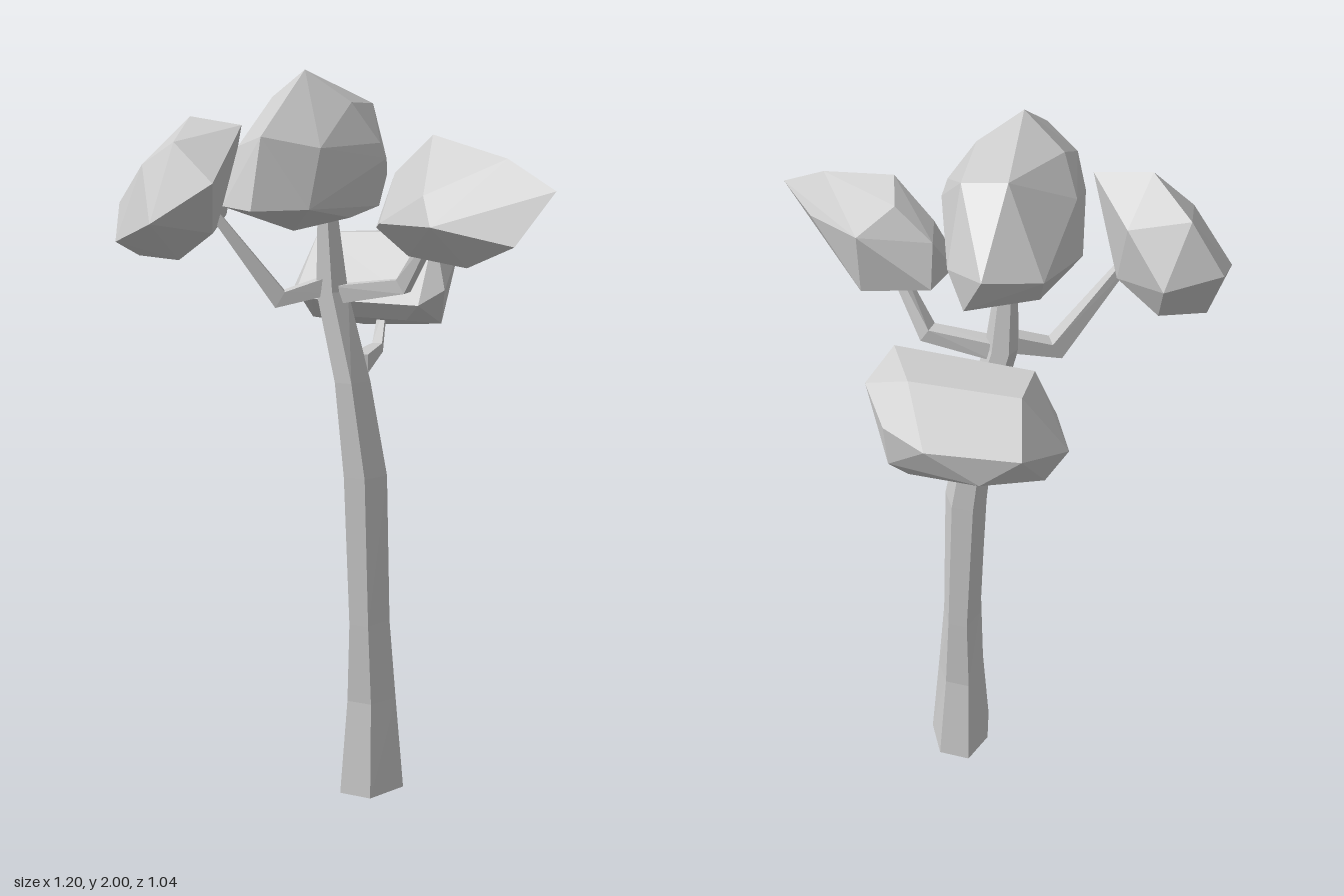
import * as THREE from 'three';
import { ConvexGeometry } from 'three/addons/geometries/ConvexGeometry.js';

const material = new THREE.MeshStandardMaterial({ color: 0xcccccc, flatShading: true });

// Skins a list of equal rings (counter-clockwise about the path) and caps both ends
function loft(rings) {
  const n = rings[0].length, pos = [], index = [];
  rings.forEach(r => r.forEach(p => pos.push(...p)));
  for (let i = 0; i < rings.length - 1; i++) {
    for (let j = 0; j < n; j++) {
      const a = i * n + j, b = i * n + (j + 1) % n;
      index.push(a, b, b + n, a, b + n, a + n);
    }
  }
  const top = (rings.length - 1) * n;
  for (let j = 1; j < n - 1; j++) {
    index.push(0, j + 1, j, top, top + j, top + j + 1);
  }
  const g = new THREE.BufferGeometry();
  g.setAttribute('position', new THREE.Float32BufferAttribute(pos, 3));
  g.setIndex(index);
  const flat = g.toNonIndexed();
  flat.computeVertexNormals();
  return flat;
}

// Six-sided trunk section between x0 and x1, with half depth d
function trunkRing([y, x0, x1, d]) {
  const w = x1 - x0, l = x0 + w * 0.16, r = x0 + w * 0.67;
  return [[l, y, d], [r, y, d], [x1, y, 0], [r, y, -d], [l, y, -d], [x0, y, 0]];
}

// Four-sided tapering branch along a bent path
function branch(points, radii) {
  const path = points.map(p => new THREE.Vector3(...p));
  const last = path.length - 1;
  return loft(path.map((p, i) => {
    const d = path[Math.min(i + 1, last)].clone().sub(path[Math.max(i - 1, 0)]).normalize();
    const ref = Math.abs(d.y) > 0.9 ? new THREE.Vector3(1, 0, 0) : new THREE.Vector3(0, 1, 0);
    const u = ref.cross(d).normalize(), v = d.clone().cross(u);
    return [0, 1, 2, 3].map(k => {
      const t = k * Math.PI / 2 + Math.PI / 4;
      return p.clone().addScaledVector(u, radii[i] * Math.cos(t))
        .addScaledVector(v, radii[i] * Math.sin(t)).toArray();
    });
  }));
}

// Trunk sections: y, left x, right x, half depth
const trunk = [
  [0, -0.02, 0.16, 0.105], [0.27, -0.005, 0.135, 0.072], [0.5, 0.005, 0.115, 0.07],
  [0.92, -0.015, 0.105, 0.065], [1.18, -0.04, 0.055, 0.058],
  [1.42, -0.1, -0.01, 0.04], [1.66, -0.095, -0.045, 0.025],
];

// Corners of the faceted leaf masses
const topLeaves = [
  [-0.06, 2, 0.16], [-0.1, 1.93, -0.11], [0.02, 1.91, -0.1], [-0.18, 1.93, 0.1],
  [0.05, 1.92, 0.12], [-0.04, 1.85, 0.46], [-0.04, 1.68, 0.52], [-0.15, 1.82, 0.36],
  [0.07, 1.82, 0.36], [-0.16, 1.68, 0.43], [0.07, 1.68, 0.43], [-0.23, 1.84, 0.04],
  [0.12, 1.82, 0.1], [-0.25, 1.69, 0.04], [0.13, 1.78, 0.08], [0.11, 1.66, 0.08],
  [-0.08, 1.74, -0.26], [-0.21, 1.72, -0.18], [0.03, 1.72, -0.18], [-0.18, 1.63, -0.1],
  [-0.02, 1.63, -0.21], [-0.04, 1.61, 0.28], [0.08, 1.64, 0.2], [-0.2, 1.64, 0.22],
];
const leftLeaves = [
  [0.24, 1.84, 0.04], [0.46, 1.79, 0.11], [0.6, 1.72, 0.165], [0.52, 1.59, 0.235],
  [0.37, 1.52, 0.14], [0.18, 1.53, 0.05], [0.31, 1.63, 0.25], [0.27, 1.7, 0.19],
  [0.29, 1.73, -0.11], [0.1, 1.73, -0.08], [0.1, 1.61, -0.1], [0.09, 1.6, 0.05],
  [0.13, 1.62, 0.13], [0.47, 1.7, 0.03], [0.3, 1.56, -0.07], [0.13, 1.74, 0.02],
  [0.2, 1.81, -0.07],
];
const rightLeaves = [
  [-0.39, 1.88, 0.16], [-0.24, 1.86, 0.16], [-0.26, 1.72, 0.29], [-0.4, 1.62, 0.37],
  [-0.55, 1.56, 0.29], [-0.44, 1.5, 0.15], [-0.55, 1.51, 0.17], [-0.6, 1.65, 0.18],
  [-0.6, 1.68, 0.055], [-0.51, 1.81, 0.06], [-0.47, 1.66, -0.035], [-0.36, 1.78, 0.03],
  [-0.32, 1.58, 0.18], [-0.48, 1.76, 0.26], [-0.38, 1.82, 0.27], [-0.45, 1.56, 0.03],
  [-0.33, 1.62, 0.08],
];
const backLeaves = [
  [-0.22, 1.54, -0.28], [0.13, 1.555, -0.29], [-0.22, 1.53, -0.39], [0.05, 1.545, -0.42],
  [0.17, 1.5, -0.39], [-0.25, 1.42, -0.49], [-0.02, 1.42, -0.52], [0.09, 1.45, -0.49],
  [-0.325, 1.37, -0.34], [-0.26, 1.38, -0.21], [0.18, 1.4, -0.24], [0.12, 1.36, -0.19],
  [-0.2, 1.36, -0.19], [-0.27, 1.28, -0.35], [0.06, 1.27, -0.41], [0.14, 1.29, -0.33],
  [-0.1, 1.27, -0.34], [-0.15, 1.34, -0.5], [0.08, 1.35, -0.49], [-0.15, 1.31, -0.23],
  [0.07, 1.31, -0.23],
];

export function createModel() {
  const tree = new THREE.Group();
  tree.name = 'tree';
  const add = (name, geometry) => {
    const mesh = new THREE.Mesh(geometry, material);
    mesh.name = name;
    tree.add(mesh);
  };

  add('trunk', loft(trunk.map(trunkRing)));

  // Branches reaching into the side and back foliage
  add('leftBranch', branch([[-0.05, 1.41, 0], [0.14, 1.44, -0.02], [0.24, 1.6, 0.02]], [0.035, 0.03, 0.018]));
  add('rightBranch', branch([[-0.05, 1.44, 0], [-0.18, 1.4, 0.07], [-0.34, 1.64, 0.15]], [0.035, 0.035, 0.016]));
  add('backBranch', branch([[0.01, 1.22, -0.03], [0, 1.235, -0.19], [-0.03, 1.34, -0.31]], [0.036, 0.02, 0.014]));

  // Foliage
  const foliage = { topLeaves, leftLeaves, rightLeaves, backLeaves };
  for (const [name, corners] of Object.entries(foliage)) {
    add(name, new ConvexGeometry(corners.map(c => new THREE.Vector3(...c))));
  }
  return tree;
}
